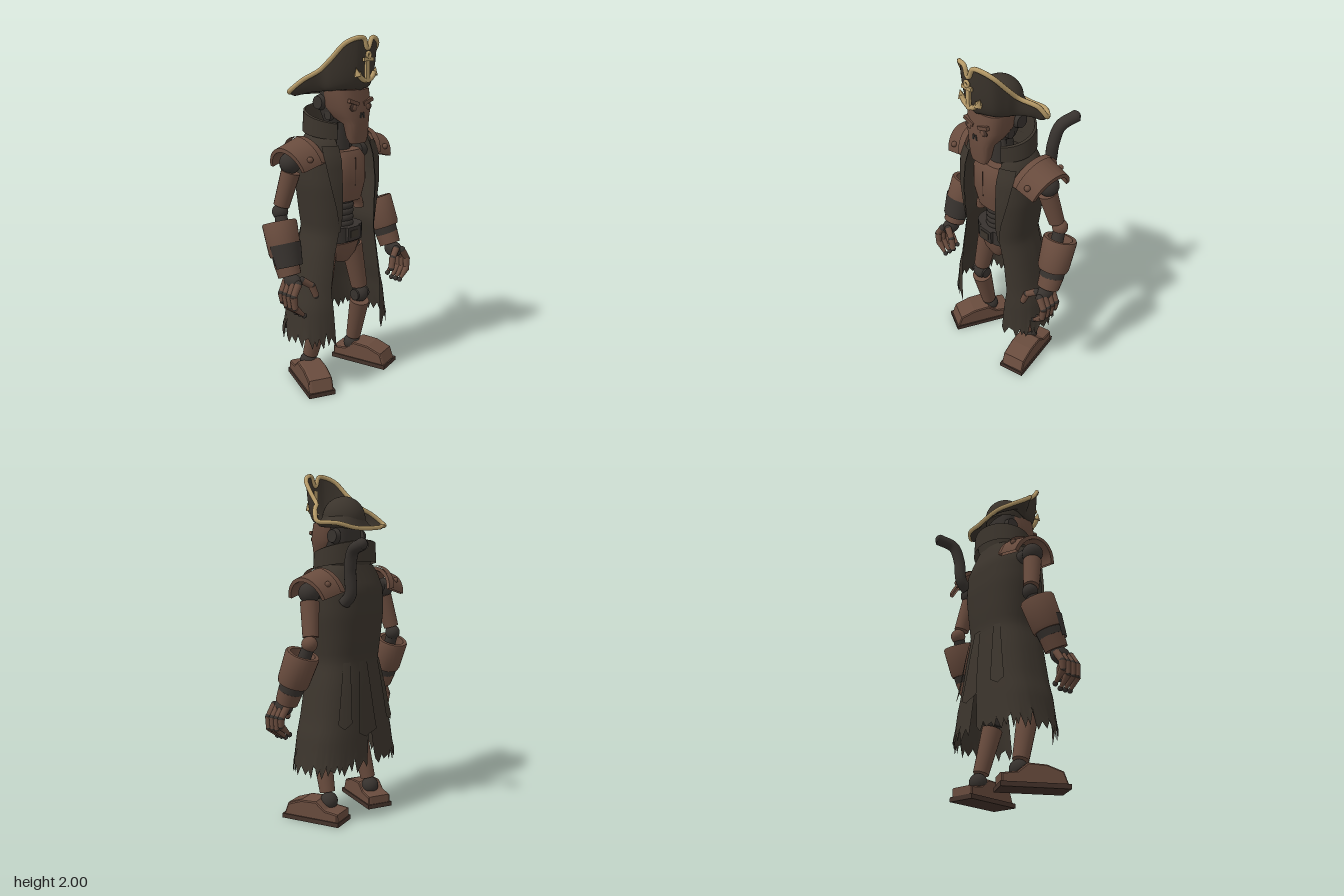
import * as THREE from 'three';
import { toCreasedNormals } from 'three/addons/utils/BufferGeometryUtils.js';

const V = (x, y, z) => new THREE.Vector3(x, y, z);
const mat = (name, color) => {
  const m = new THREE.MeshStandardMaterial({ color, side: THREE.DoubleSide });
  m.name = name;
  return m;
};
const spow = (t, p) => Math.sign(t) * Math.pow(Math.abs(t), p);

// Grid surface from a rule fn(u, v) -> Vector3
function surface(nu, nv, fn, crease = 0.8) {
  const pos = [], idx = [];
  for (let j = 0; j <= nv; j++)
    for (let i = 0; i <= nu; i++) pos.push(...fn(i / nu, j / nv, i, j).toArray());
  for (let j = 0; j < nv; j++)
    for (let i = 0; i < nu; i++) {
      const a = j * (nu + 1) + i, b = a + nu + 1;
      idx.push(a, a + 1, b, a + 1, b + 1, b);
    }
  const g = new THREE.BufferGeometry();
  g.setAttribute('position', new THREE.Float32BufferAttribute(pos, 3));
  g.setIndex(idx);
  return toCreasedNormals(g, crease);
}

// Closed body from rings [y, halfWidth, zCentre, halfDepth] with rounded-square sections
function loft(rings) {
  const all = [[rings[0][0], 0, rings[0][2], 0], ...rings, [rings.at(-1)[0], 0, rings.at(-1)[2], 0]];
  return surface(32, all.length - 1, (u, v, i, j) => {
    const [y, w, cz, d] = all[j], a = u * Math.PI * 2;
    return V(w * spow(Math.sin(a), 0.7), y, cz + d * spow(Math.cos(a), 0.7));
  });
}

// Coat rows: y, halfWidth, zFront, zBack, front opening, back slit
const COAT = [
  [1.48, 0.165, 0.165, -0.085, 0.12, 0], [1.43, 0.215, 0.195, -0.1, 0.125, 0], [1.34, 0.247, 0.225, -0.13, 0.13, 0],
  [1.2, 0.25, 0.24, -0.135, 0.135, 0], [1.05, 0.232, 0.24, -0.125, 0.13, 0], [0.93, 0.218, 0.235, -0.112, 0.14, 0],
  [0.8, 0.25, 0.235, -0.125, 0.17, 0], [0.6, 0.29, 0.24, -0.14, 0.2, 0], [0.5, 0.318, 0.245, -0.148, 0.195, 0.014],
  [0.26, 0.35, 0.25, -0.16, 0.185, 0.04]];
const roundness = (y) => 0.8 - 0.15 * Math.max(0, 0.9 - y);
function coatRow(y) {
  let k = 0;
  while (k < COAT.length - 2 && y < COAT[k + 1][0]) k++;
  const a = COAT[k], b = COAT[k + 1], t = (a[0] - y) / (a[0] - b[0]);
  return a.map((n, i) => n + (b[i] - n) * t);
}
function coatPoint(angle, y, off = 0) {
  const [, w, zf, zb] = coatRow(y), c = (zf + zb) / 2, d = (zf - zb) / 2, p = roundness(y);
  return V((w + off) * spow(Math.sin(angle), p), y, c + (d + off) * spow(Math.cos(angle), p));
}
const edgeAngle = (y, column) => { const r = coatRow(y); return Math.asin(Math.pow(r[column] / r[1], 1 / roundness(y))); };

export function createModel() {
  const brown = mat('rustBrown', 0x684b3d), cloth = mat('coatCloth', 0x3b342c);
  const metal = mat('darkMetal', 0x37322e), trim = mat('paleGoldTrim', 0xb89c69), sole = mat('soleBrown', 0x44322a);
  const root = new THREE.Group();
  root.name = 'hattedRobot';
  root.position.x = -0.015;

  const add = (name, geo, m, x = 0, y = 0, z = 0, parent = root) => {
    const mesh = new THREE.Mesh(geo, m);
    mesh.name = name;
    mesh.position.set(x, y, z);
    parent.add(mesh);
    return mesh;
  };
  const ball = (name, p, r, m) => add(name, new THREE.SphereGeometry(r, 18, 12), m, p.x, p.y, p.z);
  const aim = (mesh, a, b) => {
    mesh.quaternion.setFromUnitVectors(V(0, 1, 0), b.clone().sub(a).normalize());
    return mesh;
  };
  // Tapered rod from a to b; arc below a full turn leaves an open front shell
  const rod = (name, a, b, r1, r2, m, arc = Math.PI * 2) => {
    const c = a.clone().add(b).multiplyScalar(0.5);
    const geo = new THREE.CylinderGeometry(r2, r1, a.distanceTo(b), 18, 1, arc < 6, -arc / 2, arc);
    return aim(add(name, geo, m, c.x, c.y, c.z), a, b);
  };
  const box = (name, w, h, d, m, x, y, z) => add(name, new THREE.BoxGeometry(w, h, d), m, x, y, z);

  // Head, jaw and face
  add('face', loft([[1.425, 0.055, 0.215, 0.025], [1.46, 0.07, 0.208, 0.036], [1.53, 0.078, 0.2, 0.048],
    [1.565, 0.095, 0.16, 0.088], [1.62, 0.124, 0.14, 0.102], [1.715, 0.124, 0.125, 0.1]]), brown);
  add('skullBack', loft([[1.53, 0.075, 0.06, 0.065], [1.6, 0.105, 0.065, 0.085], [1.72, 0.108, 0.07, 0.09]]), metal);
  for (const s of [-1, 1]) {
    ball('eyeSocket', V(s * 0.055, 1.622, 0.235), 0.032, sole).scale.set(1, 0.62, 0.2);
    ball('eye', V(s * 0.052, 1.62, 0.238), 0.016, brown).scale.z = 0.4;
    box('brow', 0.075, 0.02, 0.02, brown, s * 0.055, 1.65, 0.234).rotation.z = s * 0.3;
    box('nostril', 0.012, 0.03, 0.008, metal, s * 0.01, 1.578, 0.246).rotation.z = s * 0.3;
    rod('earPod', V(s * 0.1, 1.64, 0.03), V(s * 0.13, 1.64, 0.03), 0.045, 0.036, metal);
    rod('jawHinge', V(s * 0.07, 1.57, 0.08), V(s * 0.1, 1.57, 0.08), 0.03, 0.025, metal);
    rod('neckPiston', V(s * 0.06, 1.38, 0.09), V(s * 0.045, 1.56, 0.09), 0.016, 0.016, metal);
  }
  rod('neck', V(0, 1.36, 0.05), V(0, 1.6, 0.07), 0.075, 0.055, metal);

  // Three-cornered hat: outline curve, swept brim, crown and trim
  const rim = new THREE.CatmullRomCurve3([[-0.305, 1.71, 0], [-0.265, 1.77, 0.06], [-0.19, 1.82, 0.11],
    [-0.165, 1.88, 0.17], [-0.12, 1.96, 0.23], [-0.065, 1.988, 0.268], [-0.026, 1.985, 0.277], [-0.006, 1.935, 0.278],
    [0.008, 1.935, 0.278], [0.036, 1.985, 0.275], [0.075, 1.985, 0.262], [0.13, 1.955, 0.228], [0.16, 1.88, 0.16],
    [0.18, 1.82, 0.1], [0.255, 1.78, 0.04], [0.28, 1.72, 0], [0.2, 1.71, -0.068], [0.06, 1.685, -0.095],
    [-0.14, 1.69, -0.09], [-0.22, 1.7, -0.05]].map((p) => V(...p)), true, 'centripetal');
  add('hatBrim', surface(140, 12, (u, v) => {
    const e = rim.getPoint(u % 1), dx = e.x, dz = e.z - 0.06, r = Math.hypot(dx, dz);
    const front = Math.max(0, dz / r), w = 1 - v;
    const q = (a, b, c) => w * w * a + 2 * w * v * b + v * v * c;
    return V(q(0.118 * dx / r, dx * 0.9, e.x), q(1.75, 1.645 - 0.025 * front, e.y), 0.06 + q(0.118 * dz / r, dz * 0.95, dz));
  }, 1.2), cloth);
  add('hatCrown', new THREE.SphereGeometry(0.125, 32, 14, 0, Math.PI * 2, 0, Math.PI * 0.6), cloth, -0.008, 1.742, 0.06);
  add('hatTrim', new THREE.TubeGeometry(rim, 180, 0.013, 8, true), trim);

  // Anchor badge
  const hook = add('anchorArms', new THREE.TorusGeometry(0.066, 0.014, 8, 24, Math.PI * 0.8), trim, 0, 1.832, 0.273);
  hook.rotation.z = Math.PI * 1.1;
  box('anchorShank', 0.026, 0.15, 0.014, trim, 0, 1.83, 0.279);
  box('anchorStock', 0.074, 0.02, 0.014, trim, 0, 1.878, 0.286);
  add('anchorRing', new THREE.TorusGeometry(0.014, 0.008, 8, 16), trim, 0, 1.9, 0.288);
  for (const s of [-1, 1])
    add('anchorFluke', new THREE.ConeGeometry(0.026, 0.045, 4), trim, s * 0.07, 1.815, 0.27).rotation.z = -s * 0.3;

  // Torso, belly, belt and hips
  add('chest', loft([[1.09, 0.115, 0.07, 0.112], [1.2, 0.14, 0.07, 0.133], [1.33, 0.138, 0.07, 0.13], [1.375, 0.115, 0.065, 0.105]]), brown);
  box('breastSeam', 0.003, 0.16, 0.006, sole, 0, 1.26, 0.2);
  add('ribArch', new THREE.TorusGeometry(0.098, 0.03, 10, 24, Math.PI), brown, 0, 1.03, 0.135);
  for (let i = 0; i < 5; i++) {
    const rib = add('bellyRib', new THREE.TorusGeometry(0.048, 0.024, 10, 24), metal, 0, 0.95 + i * 0.035, 0.09);
    rib.rotation.x = Math.PI / 2;
  }
  rod('spine', V(0, 0.85, 0.07), V(0, 1.12, 0.07), 0.06, 0.06, metal);
  add('belt', loft([[0.85, 0.135, 0.065, 0.115], [0.94, 0.135, 0.065, 0.115]]), metal);
  box('buckle', 0.1, 0.08, 0.02, metal, 0, 0.9, 0.185);
  box('buckleCentre', 0.06, 0.042, 0.008, cloth, 0, 0.9, 0.195);
  add('hips', loft([[0.72, 0.045, 0.07, 0.06], [0.77, 0.09, 0.07, 0.085], [0.84, 0.125, 0.065, 0.1]]), brown);

  // Coat: two halves with torn hem, lapels, folded collar and back tails
  for (const s of [-1, 1]) {
    const side = (p) => { p.x *= s; return p; };
    add('coatHalf', surface(44, 36, (u, v, i) => {
      const y = 1.48 - 1.21 * v, tear = ((i * 7 + (s > 0 ? 3 : 0)) % 5) * 0.016 + (i % 9 === 4 ? 0.04 : 0);
      const a = edgeAngle(y, 4), b = Math.PI - edgeAngle(y, 5), p = coatPoint(a + (b - a) * u, y);
      p.y += (tear + 0.025 * u) * Math.pow(v, 12);
      return side(p);
    }, 1), cloth);
    add('lapel', surface(8, 12, (u, v) => {
      const y = 1.42 - 0.48 * v, a = edgeAngle(y, 4);
      return side(coatPoint(a - 0.03 + u * (0.05 + 0.5 * (1 - v)), y, 0.006 + 0.01 * u * (1 - v)));
    }), cloth);
  }
  const fold = [[1.4, 0.16, 0.125, 0], [1.5, 0.172, 0.135, 0.5], [1.575, 0.186, 0.148, 1], [1.57, 0.2, 0.158, 1], [1.47, 0.208, 0.162, 0.6]];
  add('collar', surface(48, 4, (u, v, i, j) => {
    const [y, w, d, k] = fold[j], a = 0.62 + u * (Math.PI * 2 - 1.24);
    return V(w * Math.sin(a), y - k * 0.045 * Math.cos(a), 0.045 + d * Math.cos(a));
  }), cloth);
  for (const [a, w, end] of [[2.55, 0.24, 0.56], [3.05, 0.2, 0.5], [3.7, 0.24, 0.55]])
    add('coatTail', surface(6, 12, (u, v) => {
      const y = 0.93 - (0.93 - end) * v + 0.06 * Math.abs(u - 0.5) * v;
      return coatPoint(a + (u - 0.5) * w * (1 + 0.5 * v), y, 0.006 + 0.014 * v);
    }), cloth);

  // Back exhaust pipe
  const pipe = new THREE.CatmullRomCurve3([V(0.17, 1.27, -0.1), V(0.17, 1.32, -0.145), V(0.185, 1.46, -0.155),
    V(0.2, 1.56, -0.19), V(0.23, 1.598, -0.285)]);
  add('backPipe', new THREE.TubeGeometry(pipe, 32, 0.034, 16), metal);
  ball('pipeEnd', V(0.226, 1.596, -0.27), 0.033, metal);

  for (const s of [-1, 1]) {
    const P = (x, y, z) => V(s * x, y, z);
    const A = (x, y, z) => P(s > 0 ? x + 0.018 : x, y, z);

    // Shoulder plate: thick arched shell with a raised inner rim
    const edge = [[0, 0], [1, 0], [1, 0.022], [0, 0.022], [0, 0]];
    add('shoulderPlate', surface(28, 4, (u, v, i, j) => {
      const phi = (u - 0.5) * 2.8, [k, t] = edge[j], r = 0.152 - t - 0.012 * k;
      return P(0.235 + 0.15 * k - 0.045 * (1 - Math.cos(phi)), 1.31 - 0.035 * k + r * Math.cos(phi), 0.02 + r * Math.sin(phi));
    }, 0.5), brown);
    add('shoulderRim', surface(28, 2, (u, v) => {
      const phi = (u - 0.5) * 2.8;
      return P(0.235 + 0.04 * v - 0.045 * (1 - Math.cos(phi)), 1.31 + 0.156 * Math.cos(phi), 0.02 + 0.156 * Math.sin(phi));
    }), brown);
    ball('shoulderRivet', P(0.3, 1.36, 0.152), 0.017, brown);
    ball('shoulderRivet', P(0.3, 1.38, -0.095), 0.017, brown);

    // Arm
    rod('shoulderAxle', P(0.2, 1.34, 0.02), P(0.32, 1.34, 0.02), 0.045, 0.045, metal);
    ball('shoulderJoint', P(0.325, 1.33, 0.02), 0.06, metal);
    rod('upperArm', P(0.322, 1.28, 0.02), P(0.358, 1.09, -0.02), 0.054, 0.045, brown);
    ball('elbow', A(0.36, 1.055, -0.03), 0.045, s > 0 ? brown : metal);
    rod('forearm', A(0.36, 1.055, -0.03), A(0.4, 0.75, 0.09), 0.035, 0.04, metal);
    const cuffLow = A(0.403, 0.83, 0.06), cuffTop = A(0.388, 1.0, -0.005);
    const profile = [[0.03, 0], [0.084, 0], [0.09, 0.02], [0.097, 0.178], [0.092, 0.188], [0.07, 0.188], [0.062, 0.08], [0.03, 0.08]];
    const cuff = toCreasedNormals(new THREE.LatheGeometry(profile.map((p) => new THREE.Vector2(...p)), 28), 0.6);
    aim(add('forearmCuff', cuff, brown, cuffLow.x, cuffLow.y, cuffLow.z), cuffLow, cuffTop);
    rod('cuffBand', A(0.403, 0.835, 0.055), A(0.408, 0.79, 0.072), 0.074, 0.07, metal);
    if (s < 0) rod('darkSleeve', A(0.405, 0.77, 0.08), A(0.398, 0.89, 0.037), 0.082, 0.097, metal, Math.PI);
    rod('wristCuff', A(0.408, 0.795, 0.07), A(0.41, 0.725, 0.1), 0.07, 0.064, brown);

    // Hand with curled fingers
    const palm = ball('palm', A(0.412, 0.695, 0.125), 0.055, metal);
    palm.scale.set(0.75, 0.9, 1.15);
    const finger = (pts) => pts.forEach((p, i) => {
      ball('fingerJoint', p, 0.021 - 0.002 * i, metal);
      if (i) rod('fingerBone', pts[i - 1], p, 0.021, i === 3 ? 0.009 : 0.018, brown);
    });
    for (let i = 0; i < 4; i++) {
      const z = 0.085 + 0.033 * i, drop = i === 0 ? 0.02 : 0;
      finger([A(0.425, 0.7, z), A(0.465, 0.64, z + 0.006), A(0.46, 0.575 + drop, z + 0.01), A(0.395, 0.515 + drop, z + 0.012)]);
    }
    finger([A(0.385, 0.71, 0.17), A(0.33, 0.67, 0.19), A(0.31, 0.61, 0.2)]);

    // Leg
    ball('hipJoint', P(0.1, 0.79, 0.065), 0.06, metal);
    rod('thigh', P(0.108, 0.79, 0.07), P(0.158, 0.52, 0.09), 0.065, 0.05, brown);
    ball('knee', P(0.165, 0.465, 0.09), 0.052, metal);
    rod('kneeAxle', P(0.115, 0.465, 0.09), P(0.215, 0.465, 0.09), 0.034, 0.034, metal);
    rod('shin', P(0.168, 0.42, 0.085), P(0.185, 0.16, 0.02), 0.06, 0.045, brown);
    ball('ankle', P(0.188, 0.11, 0.005), 0.052, metal);

    // Turned-out boot
    const foot = new THREE.Group();
    foot.name = 'foot';
    foot.position.set(s > 0 ? 0.213 : -0.195, 0, 0);
    foot.rotation.y = s > 0 ? 0.25 : -0.4;
    root.add(foot);
    const outline = new THREE.Shape([[-0.1, 0.02], [-0.1, 0.065], [-0.02, 0.075], [0.035, 0.12], [0.13, 0.115],
      [0.215, 0.085], [0.24, 0.02]].map((p) => new THREE.Vector2(...p)));
    const shoe = new THREE.ExtrudeGeometry(outline, { depth: 0.11, bevelSize: 0.01, bevelThickness: 0.018, bevelSegments: 2 });
    shoe.rotateY(-Math.PI / 2).translate(0.055, 0, 0);
    add('boot', shoe, brown, 0, 0, 0, foot);
    add('bootSole', new THREE.BoxGeometry(0.16, 0.026, 0.37), sole, 0, 0.013, 0.07, foot);
  }
  return root;
}
